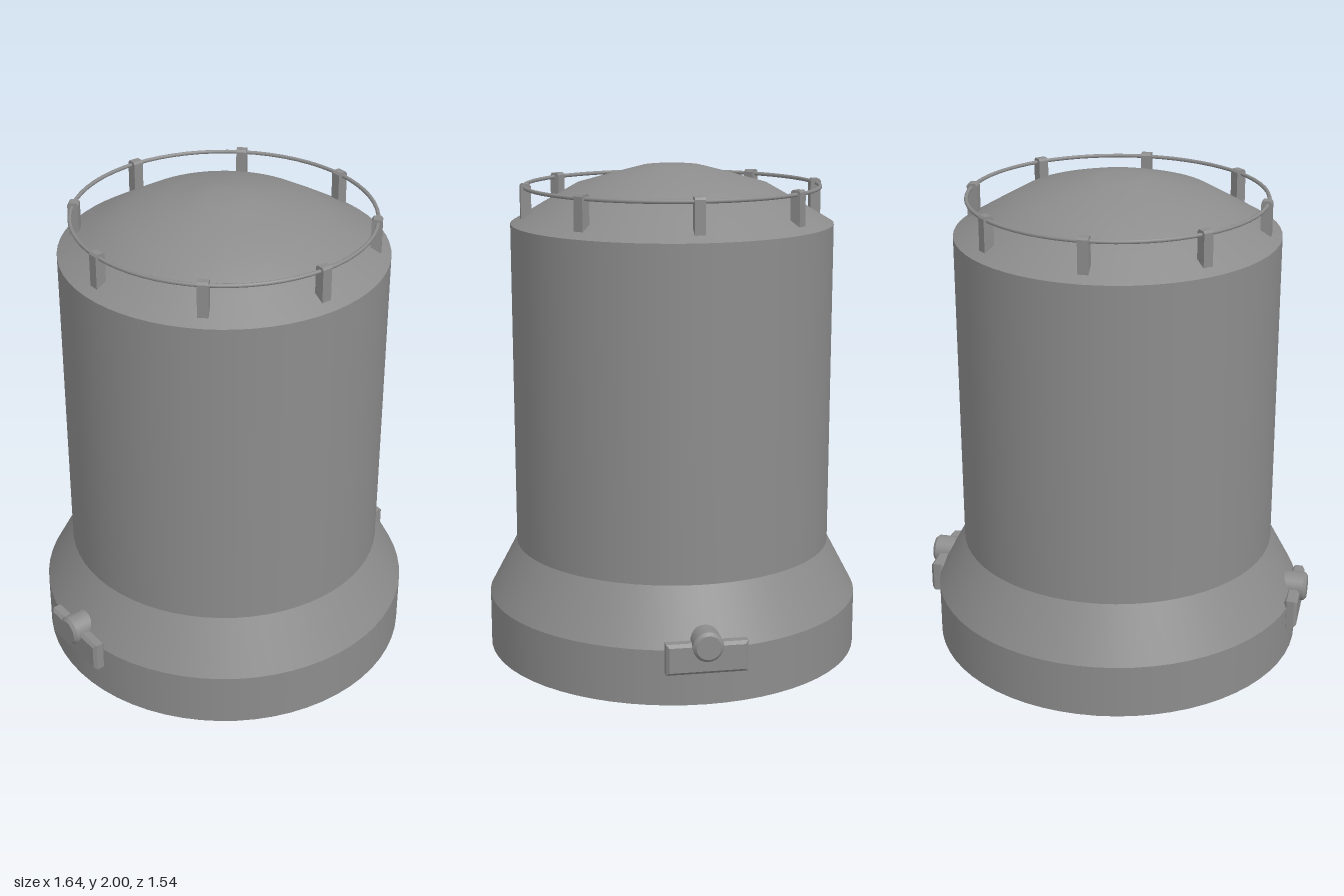
import * as THREE from 'three';

const SEGMENTS = 64;

export function createModel() {
  const model = new THREE.Group();
  model.name = 'domedTank';

  const grey = new THREE.MeshStandardMaterial({ color: 0x8c8c8c, side: THREE.DoubleSide });
  grey.name = 'grey';

  const add = (parent, name, geometry) => {
    const mesh = new THREE.Mesh(geometry, grey);
    mesh.name = name;
    parent.add(mesh);
    return mesh;
  };
  const lathe = (points, segments = SEGMENTS) =>
    new THREE.LatheGeometry(points.map(([r, y]) => new THREE.Vector2(r, y)), segments);

  // Open-bottomed shell, one lathe per section so the edges between stay sharp
  add(model, 'baseWall', lathe([[0.768, 0], [0.768, 0.225]]));
  add(model, 'flaredSkirt', lathe([[0.768, 0.225], [0.652, 0.445]]));
  add(model, 'body', lathe([[0.652, 0.445], [0.652, 1.768]]));
  add(model, 'dome', lathe([
    [0.652, 1.768], [0.52, 1.846], [0.39, 1.92], [0.25, 1.96], [0.12, 1.994], [0.06, 1.999], [0, 2],
  ]));

  // Handrail ring
  const railing = new THREE.Group();
  railing.name = 'railing';
  model.add(railing);
  const ring = add(railing, 'railRing', new THREE.TorusGeometry(0.595, 0.008, 8, SEGMENTS));
  ring.rotation.x = Math.PI / 2;
  ring.position.y = 1.915;

  // Rail posts with chamfered tops; profile runs radially and upwards
  const postShape = new THREE.Shape([
    [0.57, 1.79], [0.612, 1.79], [0.612, 1.923], [0.605, 1.932], [0.577, 1.932], [0.57, 1.923],
  ].map(([x, y]) => new THREE.Vector2(x, y)));
  const postGeometry = new THREE.ExtrudeGeometry(postShape, { depth: 0.042, bevelEnabled: false });
  postGeometry.translate(0, 0, -0.021);
  for (let i = 0; i < 8; i++) {
    add(railing, 'railPost', postGeometry).rotation.y = i * Math.PI / 4;
  }

  // Side bracket: bevelled plate, built facing +z then turned outwards
  const bevel = 0.012;
  const w = 0.16 - bevel, h = 0.0625 - bevel;
  const plateShape = new THREE.Shape([
    new THREE.Vector2(-w, -h), new THREE.Vector2(w, -h),
    new THREE.Vector2(w, h), new THREE.Vector2(-w, h),
  ]);
  const plateGeometry = new THREE.ExtrudeGeometry(plateShape, {
    depth: 0.031, bevelThickness: bevel, bevelSize: bevel, bevelSegments: 1,
  });
  plateGeometry.translate(0, 0.197, 0.74 + bevel);

  // Round knob with a chamfered rim
  const knobSections = [
    ['knobBack', [[0, 0.725], [0.06, 0.725]]],
    ['knobSide', [[0.06, 0.725], [0.06, 0.808]]],
    ['knobRim', [[0.06, 0.808], [0.048, 0.82]]],
    ['knobFace', [[0.048, 0.82], [0, 0.82]]],
  ];

  for (const side of [1, -1]) {
    const bracket = new THREE.Group();
    bracket.name = side > 0 ? 'leftBracket' : 'rightBracket';
    bracket.rotation.y = side * Math.PI / 2;
    add(bracket, 'bracketPlate', plateGeometry);
    for (const [name, points] of knobSections) {
      const part = add(bracket, name, lathe(points, 24));
      part.rotation.x = Math.PI / 2;
      part.position.y = 0.25;
    }
    model.add(bracket);
  }
  return model;
}
